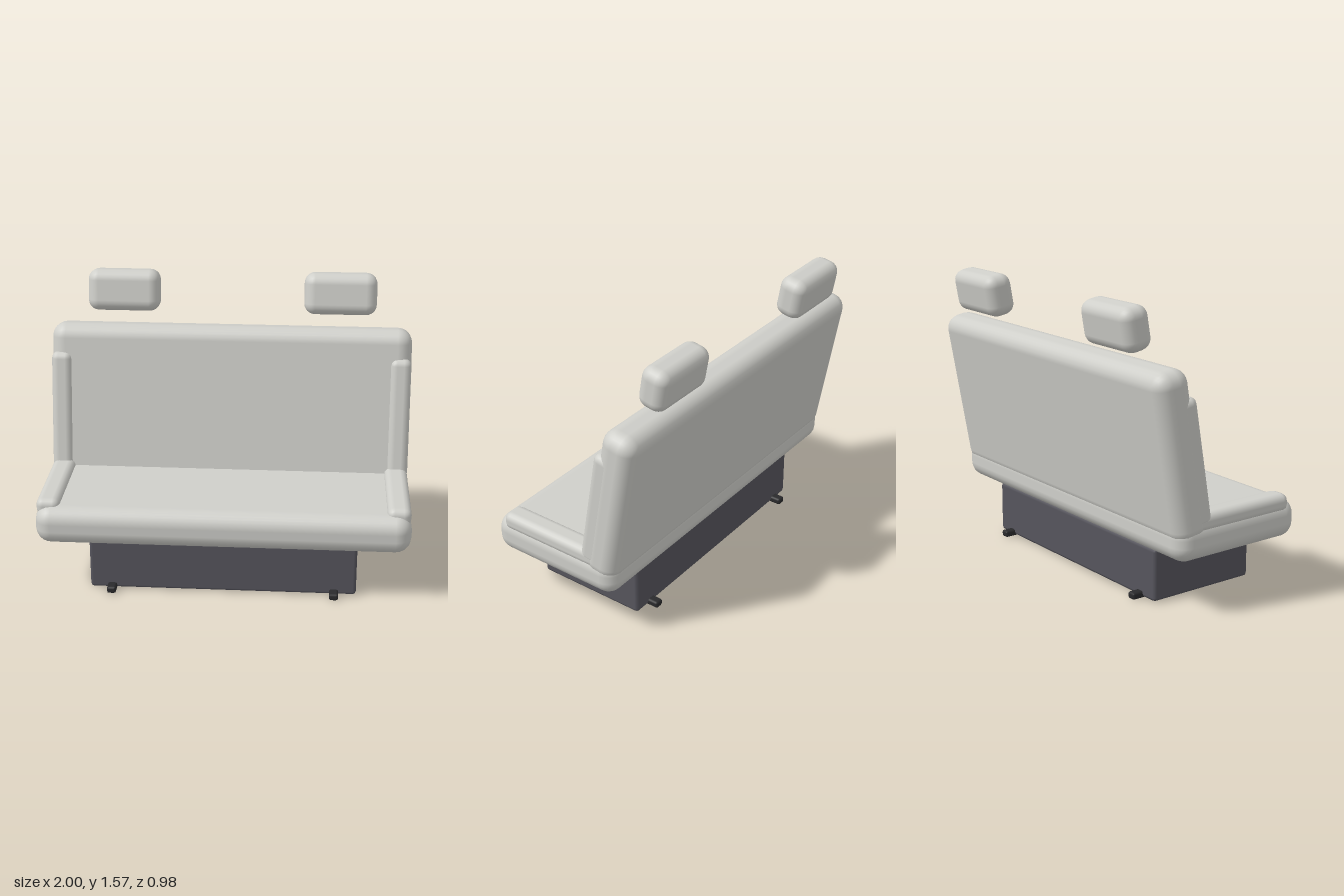
import * as THREE from 'three';
import { RoundedBoxGeometry } from 'three/addons/geometries/RoundedBoxGeometry.js';

const mat = (name, color) => {
  const m = new THREE.MeshStandardMaterial({ color });
  m.name = name;
  return m;
};

export function createModel() {
  const upholstery = mat('light grey upholstery', 0xcfcfca);
  const baseGrey = mat('dark slate metal', 0x56555d);
  const railBlack = mat('black rail', 0x2a2a2c);
  const TILT = -10 * Math.PI / 180;

  const group = new THREE.Group();
  group.name = 'benchSeat';

  // Rounded block: size, centre, edge radius and tilt about x
  const block = (name, material, [w, h, d], [x, y, z], radius, segments, tilt = 0) => {
    const mesh = new THREE.Mesh(new RoundedBoxGeometry(w, h, d, segments, radius), material);
    mesh.name = name;
    mesh.position.set(x, y, z);
    mesh.rotation.x = tilt;
    group.add(mesh);
    return mesh;
  };

  // Pedestal under the cushion
  block('base', baseGrey, [1.44, 0.285, 0.64], [0, 0.148, 0.08], 0.018, 1);

  // Cushion and reclined backrest
  block('seatCushion', upholstery, [2, 0.212, 0.79], [0, 0.394, 0.095], 0.085, 3);
  block('backrest', upholstery, [2, 0.9, 0.202], [0, 0.832, -0.27], 0.08, 3, TILT);

  // Mirrored parts
  for (const side of [1, -1]) {
    const label = side > 0 ? 'left' : 'right';
    block(label + 'FloorRail', railBlack, [0.05, 0.038, 0.76], [side * 0.6, 0.019, 0.08], 0.012, 1);
    block(label + 'SeatBolster', upholstery, [0.128, 0.1, 0.63], [side * 0.932, 0.483, 0.115], 0.04, 2);
    block(label + 'BackBolster', upholstery, [0.117, 0.68, 0.12], [side * 0.939, 0.797, -0.201], 0.04, 2, TILT);
    block(label + 'Headrest', upholstery, [0.4, 0.23, 0.16], [side * 0.6, 1.452, -0.4], 0.06, 3, TILT);
  }
  return group;
}
